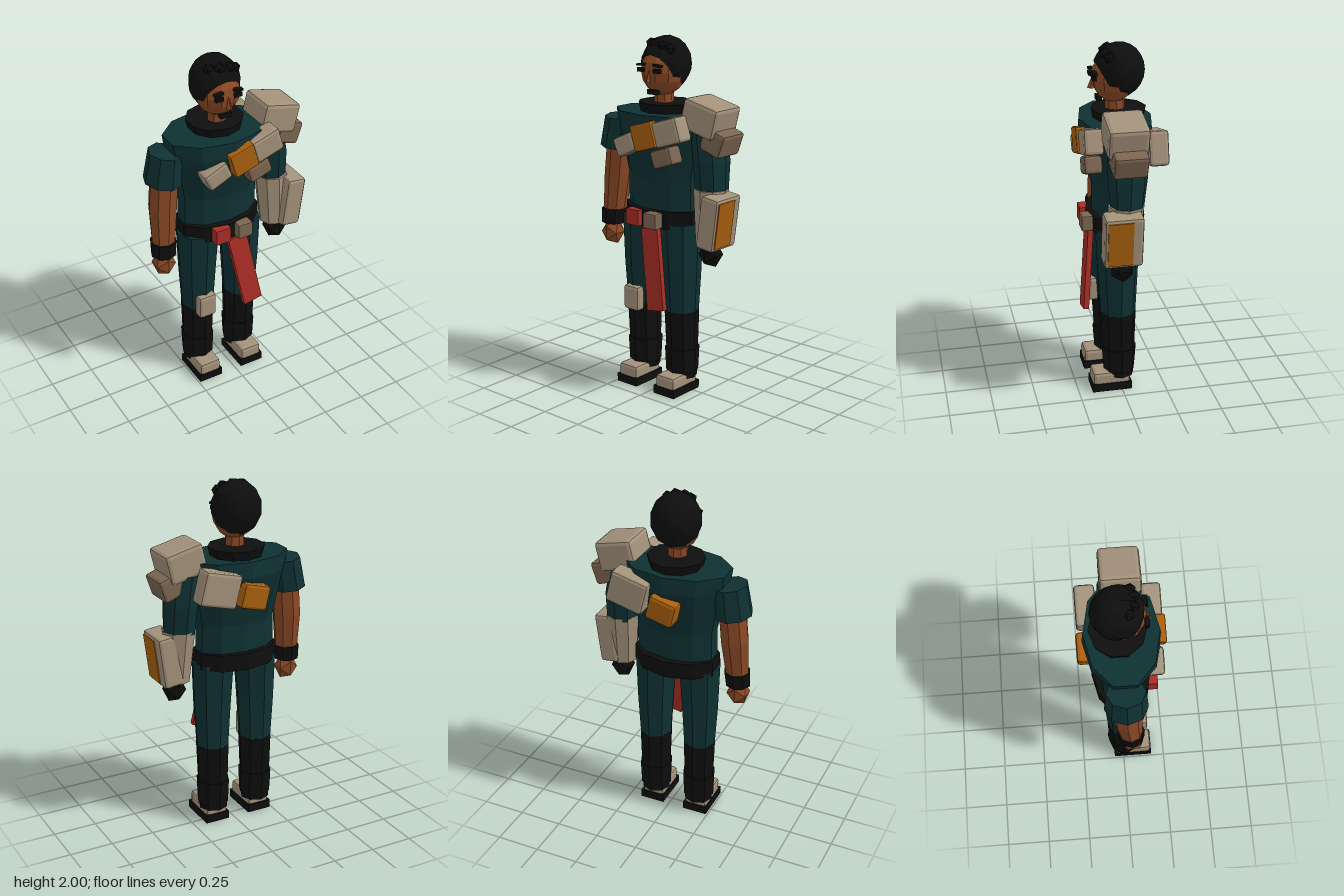
import * as THREE from 'three';
import { RoundedBoxGeometry } from 'three/addons/geometries/RoundedBoxGeometry.js';

const CX = -0.03; // centre line of the body

function paint(name, color, side = THREE.FrontSide) {
  const m = new THREE.MeshStandardMaterial({ color, flatShading: true, side });
  m.name = name;
  return m;
}

// Stack of elliptical rings [x, y, z, rx, rz], bottom to top, with closed ends
function loft(rings, sides, slope = 0) {
  const pos = [], idx = [];
  for (const [x, y, z, rx, rz] of rings) {
    for (let i = 0; i < sides; i++) {
      const a = (i / sides) * Math.PI * 2, dx = rx * Math.sin(a);
      pos.push(x + dx, y + slope * dx, z + rz * Math.cos(a));
    }
  }
  const last = (rings.length - 1) * sides;
  for (let r = 0; r < last; r += sides) {
    for (let i = 0; i < sides; i++) {
      const j = (i + 1) % sides;
      idx.push(r + i, r + j, r + sides + j, r + i, r + sides + j, r + sides + i);
    }
  }
  for (let i = 1; i < sides - 1; i++) {
    idx.push(0, i + 1, i, last, last + i, last + i + 1);
  }
  const g = new THREE.BufferGeometry();
  g.setAttribute('position', new THREE.Float32BufferAttribute(pos, 3));
  g.setIndex(idx);
  g.computeVertexNormals();
  return g;
}

export function createModel() {
  const group = new THREE.Group();
  const teal = paint('teal cloth', 0x0f3133);
  const black = paint('black', 0x0e0e0e, THREE.DoubleSide);
  const skin = paint('skin', 0x8a4824);
  const tan = paint('tan armour', 0xa3917a);
  const brown = paint('dark tan armour', 0x7b6650);
  const orange = paint('orange', 0xa9600f);
  const red = paint('red', 0xa82d25);

  const add = (name, geo, mat, p = [0, 0, 0], r = [0, 0, 0]) => {
    const m = new THREE.Mesh(geo, mat);
    m.name = name;
    m.position.set(...p);
    m.rotation.set(...r);
    group.add(m);
    return m;
  };
  const box = (name, mat, size, p, r) => add(name, new THREE.BoxGeometry(...size), mat, p, r);
  const pad = (name, mat, size, p, tilt = 0, bevel = 0.018) =>
    add(name, new RoundedBoxGeometry(...size, 1, bevel), mat, p, [0, 0, tilt]);

  // Torso, belt, collar and neck
  add('torso', loft([
    [CX, 1.02, 0, 0.235, 0.13], [CX, 1.22, 0, 0.232, 0.135], [CX, 1.34, 0, 0.255, 0.165],
    [CX, 1.5, 0, 0.295, 0.208], [CX, 1.59, 0, 0.31, 0.2],
  ], 10), teal);
  add('belt', loft([[CX, 0.965, 0, 0.247, 0.167], [CX, 1.06, 0, 0.247, 0.167]], 10), black);
  add('collar', loft([[CX, 1.58, -0.02, 0.143, 0.14], [CX, 1.64, -0.02, 0.16, 0.153]], 10), black);
  add('neck', loft([[CX, 1.6, 0, 0.055, 0.055], [CX, 1.74, 0, 0.052, 0.055]], 8), skin);

  // Head
  const head = new THREE.SphereGeometry(1, 10, 8);
  head.scale(0.122, 0.135, 0.125);
  add('head', head, skin, [CX, 1.81, 0.005]);
  const hair = new THREE.SphereGeometry(1, 12, 8, 0, Math.PI * 2, 0, 2.25);
  hair.rotateX(-Math.PI / 3);
  hair.scale(0.137, 0.152, 0.142);
  add('hair', hair, black, [CX, 1.848, -0.02]);
  for (const [x, y, z] of [[-0.09, 1.955, 0.03], [-0.045, 1.955, 0.055], [0.01, 1.95, 0.06], [0.05, 1.935, 0.045]]) {
    add('hairTuft', new THREE.IcosahedronGeometry(0.033, 0), black, [x, y, z], [0.3, x * 8, 0.2]);
  }
  for (const s of [-1, 1]) {
    box('eye', black, [0.045, 0.022, 0.02], [CX + s * 0.055, 1.822, 0.124]);
    box('brow', black, [0.052, 0.012, 0.025], [CX + s * 0.057, 1.85, 0.122], [0, 0, -s * 0.12]);
  }
  add('nose', new THREE.ConeGeometry(0.018, 0.07, 4), skin, [CX, 1.79, 0.128], [-0.15, 0, 0]);
  box('mouthBeard', black, [0.065, 0.026, 0.03], [CX, 1.702, 0.09]);

  // Legs, boots and shoes
  for (const s of [-1, 1]) {
    const x = CX + s * 0.138;
    add('trouserLeg', loft([
      [x, 0.47, 0.01, 0.093, 0.1], [x, 0.72, 0.012, 0.108, 0.114], [CX + s * 0.132, 0.99, 0.012, 0.122, 0.127],
    ], 8), teal);
    add('boot', loft([[x, 0.08, 0.004, 0.084, 0.084], [x, 0.478, 0.01, 0.095, 0.102]], 8), black);
    add('bootCuff', loft([[x, 0.115, 0.006, 0.093, 0.09], [x, 0.255, 0.006, 0.097, 0.1]], 8), black);
    box('sole', black, [0.145, 0.048, 0.228], [x, 0.024, 0.058]);
    pad('shoe', tan, [0.132, 0.095, 0.215], [x, 0.068, 0.06], 0, 0.02);
  }
  pad('kneePad', tan, [0.11, 0.145, 0.065], [-0.165, 0.513, 0.107]);

  // Bare right arm with a short sleeve
  add('rightSleeve', loft([[-0.363, 1.352, 0, 0.1, 0.117], [-0.338, 1.525, 0, 0.09, 0.105]], 8, -0.12), teal);
  add('rightArm', loft([
    [-0.38, 0.98, 0.025, 0.066, 0.066], [-0.368, 1.19, 0.005, 0.08, 0.08], [-0.35, 1.4, 0, 0.079, 0.08],
  ], 8), skin);
  add('rightWristband', loft([[-0.385, 0.905, 0.03, 0.07, 0.072], [-0.38, 0.99, 0.025, 0.075, 0.077]], 8), black);

  // Long-sleeved left arm with wrapped forearm
  add('leftSleeve', loft([
    [0.31, 1.19, 0.005, 0.09, 0.092], [0.303, 1.352, 0, 0.096, 0.108], [0.278, 1.525, 0, 0.09, 0.105],
  ], 8, 0.05), teal);
  add('leftForearm', loft([[0.32, 0.9, 0.03, 0.078, 0.078], [0.31, 1.205, 0.01, 0.094, 0.1]], 8), tan);

  // Hands
  for (const [name, x, mat] of [['rightHand', -0.387, skin], ['leftHand', 0.33, black]]) {
    const hand = new THREE.IcosahedronGeometry(1, 0);
    hand.scale(0.066, 0.078, 0.07);
    add(name, hand, mat, [x, 0.848, 0.035]);
  }

  // Bracer with its painted panel
  const bracer = pad('bracer', tan, [0.115, 0.295, 0.21], [0.386, 1.045, 0.046], -0.127);
  const panel = new THREE.Mesh(new THREE.BoxGeometry(0.008, 0.255, 0.135), orange);
  panel.name = 'bracerPanel';
  panel.position.set(0.059, 0, 0.021);
  bracer.add(panel);

  // Shoulder armour
  pad('shoulderPad', tan, [0.225, 0.172, 0.22], [0.299, 1.594, 0.014], -0.24, 0.022);
  pad('lowerShoulderPad', brown, [0.14, 0.132, 0.185], [0.376, 1.475, 0.01], -0.33);

  // Chest band pouches
  pad('chestPouchRight', tan, [0.148, 0.108, 0.1], [-0.137, 1.417, 0.165], 0.42);
  pad('chestPouchCentre', orange, [0.15, 0.145, 0.11], [0.01, 1.481, 0.178], 0.29, 0.01);
  pad('chestPouchLeft', tan, [0.178, 0.14, 0.105], [0.16, 1.518, 0.168], 0.31);
  pad('chestPouchLower', brown, [0.142, 0.1, 0.1], [0.12, 1.375, 0.16], 0.33);

  // Back band pouches
  pad('backPouchLeft', tan, [0.22, 0.19, 0.11], [0.167, 1.468, -0.176], 0.25);
  pad('backPouchCentre', orange, [0.16, 0.14, 0.1], [-0.035, 1.402, -0.188], 0.25);

  // Belt boxes and hanging sash
  box('beltBoxRed', red, [0.088, 0.088, 0.06], [-0.098, 1.013, 0.165]);
  pad('beltBoxTan', brown, [0.09, 0.09, 0.065], [0.035, 1.013, 0.176], 0, 0.01);
  box('sash', red, [0.115, 0.46, 0.03], [0.045, 0.738, 0.178], [-0.1, 0, 0.18]);

  return group;
}
